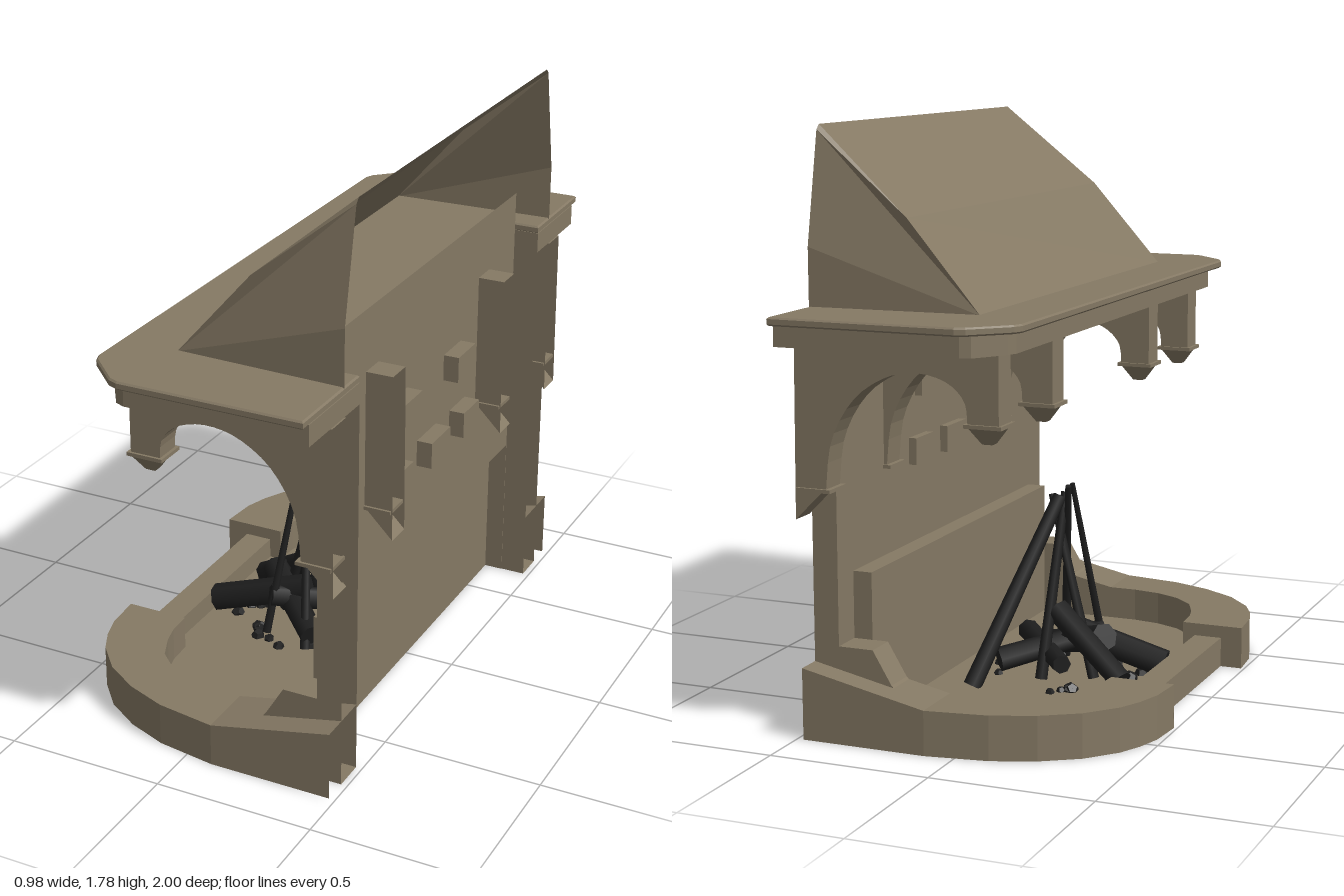
import * as THREE from 'three';

const stone = new THREE.MeshStandardMaterial({ color: 0x857964, side: THREE.DoubleSide });
stone.name = 'stone';
const char = new THREE.MeshStandardMaterial({ color: 0x1e1e1e, side: THREE.DoubleSide });
char.name = 'charredWood';

// Faceted open surface from rows of [x, y, z] points
function surface(rows) {
  const pos = [];
  for (let i = 0; i < rows.length - 1; i++) {
    for (let j = 0; j < rows[i].length - 1; j++) {
      const a = rows[i][j], b = rows[i + 1][j], c = rows[i + 1][j + 1], d = rows[i][j + 1];
      pos.push(...a, ...b, ...c, ...a, ...c, ...d);
    }
  }
  const g = new THREE.BufferGeometry();
  g.setAttribute('position', new THREE.Float32BufferAttribute(pos, 3));
  g.computeVertexNormals();
  return g;
}

const shapeOf = pts => new THREE.Shape(pts.map(p => new THREE.Vector2(...p)));

export function createModel() {
  const model = new THREE.Group();
  model.name = 'fireplace';
  const add = (parent, name, geo, mat = stone) => {
    const m = new THREE.Mesh(geo, mat);
    m.name = name;
    parent.add(m);
    return m;
  };
  const group = name => {
    const g = new THREE.Group();
    g.name = name;
    model.add(g);
    return g;
  };
  const box = (parent, name, x0, x1, y0, y1, z0, z1) =>
    add(parent, name, new THREE.BoxGeometry(x1 - x0, y1 - y0, z1 - z0))
      .position.set((x0 + x1) / 2, (y0 + y1) / 2, (z0 + z1) / 2);
  // Hollow part: x-y profile strip with two flat cheeks, open at its back
  const shell = (parent, name, pts, z0, z1) => {
    add(parent, name, surface([z0, z1].map(z => pts.map(([x, y]) => [x, y, z]))));
    for (const z of [z0, z1]) add(parent, name + 'Cheek', new THREE.ShapeGeometry(shapeOf(pts))).position.z = z;
  };
  // Plan outline (x, z) extruded upward
  const slab = (parent, name, pts, y0, y1, bevel = 0) => {
    const g = new THREE.ExtrudeGeometry(shapeOf(pts.map(([x, z]) => [x, -z])), {
      depth: y1 - y0 - 2 * bevel, bevelEnabled: bevel > 0, bevelSize: bevel,
      bevelOffset: -bevel, bevelThickness: bevel, bevelSegments: 1 });
    g.rotateX(-Math.PI / 2);
    add(parent, name, g).position.y = y0 + bevel;
  };

  // Hearth: curved rim rising toward the wall, sunken floor, low front kerb
  const hearth = group('hearth');
  const rim = [ // outer x, z, inner x, z
    [-0.49, 0.33, -0.29, 0.33], [-0.48, 0.45, -0.285, 0.41], [-0.455, 0.53, -0.27, 0.47],
    [-0.42, 0.6, -0.235, 0.55], [-0.34, 0.69, -0.17, 0.61], [-0.23, 0.76, -0.09, 0.645],
    [-0.1, 0.81, 0, 0.66], [0.09, 0.84, 0.09, 0.66], [0.48, 0.84, 0.48, 0.66]];
  const rimTop = x => 0.135 + Math.max(0, x - 0.09) * 0.21;
  for (const s of [1, -1]) {
    add(hearth, 'hearthRim', surface(rim.map(([ox, oz, ix, iz]) => [
      [ox, 0, s * oz], [ox, rimTop(ox), s * oz], [ix, rimTop(ix), s * iz], [ix, 0, s * iz]])));
    box(hearth, 'rimEnd', -0.49, -0.29, 0, 0.135, s * 0.331 - 0.001, s * 0.331 + 0.001);
    shell(hearth, 'rimStep', [[0.4, 0.13], [0.19, 0.13], [0.23, 0.17], [0.29, 0.27], [0.4, 0.27]],
      s * 0.66, s * 0.76);
  }
  box(hearth, 'frontKerb', -0.42, -0.33, 0, 0.095, -0.33, 0.33);
  const half = rim.slice(0, 8).map(r => [r[2], r[3]]);
  half.push([0.34, 0.66]);
  slab(hearth, 'hearthFloor', [[-0.34, 0.33], ...half,
    ...half.map(([x, z]) => [x, -z]).reverse(), [-0.34, -0.33]], 0.02, 0.028);

  // Back wall with a ledge, open behind, and side pilasters
  const wall = group('wall');
  const wallLine = [[0.34, 0], [0.34, 0.475], [0.4, 0.475], [0.4, 1.37]];
  add(wall, 'backPanel', surface([-0.66, 0.66].map(z => wallLine.map(([x, y]) => [x, y, z]))));
  for (const s of [1, -1]) {
    box(wall, 'ledgeEnd', 0.34, 0.4, 0, 0.475, s * 0.66 - 0.002, s * 0.66 + 0.002);
    shell(wall, 'pilaster', [[0.48, 0], [0.4, 0], [0.4, 1.18], [0.48, 1.18]], s * 0.66, s * 0.76);
  }
  const bricks = [[0.225, 0.975, 0.12], [-0.17, 0.975, 0.13], [0.28, 0.765, 0.12],
    [0.015, 0.765, 0.14], [-0.22, 0.765, 0.12]];
  for (const [z, y, w] of bricks) box(wall, 'brick', 0.375, 0.45, y - 0.042, y + 0.042, z - w / 2, z + w / 2);

  // Four arched brackets with pendants and a wall corbel
  const brackets = group('brackets');
  const arch = new THREE.SplineCurve([[-0.055, 0.975], [-0.045, 1.04], [0.01, 1.09], [0.1, 1.11],
    [0.2, 1.09], [0.3, 1.02], [0.37, 0.9], [0.39, 0.755]].map(p => new THREE.Vector2(...p)))
    .getPoints(24).map(p => [p.x, p.y]);
  const profile = [[0.485, 1.18], [-0.15, 1.18], [-0.15, 0.975], ...arch, [0.4, 0.75], [0.49, 0.66]];
  for (const zc of [-0.797, -0.41, 0.41, 0.797]) {
    shell(brackets, 'archedBracket', profile, zc - 0.042, zc + 0.042);
    box(brackets, 'pendantCollar', -0.16, -0.045, 0.965, 0.976, zc - 0.05, zc + 0.05);
    const tip = add(brackets, 'pendant', new THREE.CylinderGeometry(0.065, 0.022, 0.05, 4).rotateY(Math.PI / 4));
    tip.position.set(-0.103, 0.942, zc);
    box(brackets, 'corbelCollar', 0.375, 0.485, 0.745, 0.756, zc - 0.05, zc + 0.05);
  }

  // Mantel shelf, notched behind for the wall
  const mantel = group('mantel');
  const shelf = (front, side) => [[0.48, side], [-0.09, side], [-0.12, side - 0.012], [front + 0.012, side - 0.11],
    [front, side - 0.14], [front, 0.14 - side], [front + 0.012, 0.11 - side], [-0.12, 0.012 - side],
    [-0.09, -side], [0.48, -side], [0.48, -0.66], [0.4, -0.66], [0.4, 0.66], [0.48, 0.66]];
  slab(mantel, 'mantelMoulding', shelf(-0.198, 0.965), 1.18, 1.245);
  slab(mantel, 'mantelTop', shelf(-0.232, 1), 1.243, 1.268, 0.005);

  // Chimney hood: open shell, sloping front with folded sides
  const hood = group('hood');
  const A = [-0.05, 1.265, 0.735], B = [0.18, 1.53, 0.725], C = [0.48, 1.785, 0.675],
    D = [0.48, 1.77, 0.69], E = [0.48, 1.44, 0.755], F = [0.48, 1.265, 0.755];
  const flip = s => ([x, y, z]) => [x, y, s * z];
  add(hood, 'hoodFront', surface([[A, B, C].map(flip(1)), [A, B, C].map(flip(-1))]));
  for (const s of [1, -1]) {
    for (const tri of [[A, F, E], [A, E, D], [A, D, B], [B, D, C]]) {
      const g = new THREE.BufferGeometry().setFromPoints(
        (s > 0 ? tri : [...tri].reverse()).map(p => new THREE.Vector3(...flip(s)(p))));
      g.computeVertexNormals();
      add(hood, 'hoodSide', g);
    }
  }

  // Camp fire: leaning sticks, lying logs and scattered embers
  const fire = group('fire');
  const log = (name, a, b, r0, r1) => {
    const p = new THREE.Vector3(...a), q = new THREE.Vector3(...b), d = q.clone().sub(p);
    const m = add(fire, name, new THREE.CylinderGeometry(r1, r0, d.length(), 7), char);
    m.position.copy(p).add(q).multiplyScalar(0.5);
    m.quaternion.setFromUnitVectors(new THREE.Vector3(0, 1, 0), d.normalize());
  };
  const sticks = [
    [[0.2, 0.03, -0.26], [0.01, 0.6, 0], 0.03, 0.022],
    [[0.06, 0.03, 0.17], [-0.03, 0.64, -0.03], 0.016, 0.01],
    [[-0.12, 0.03, -0.04], [0.045, 0.6, 0.02], 0.018, 0.012],
    [[-0.1, 0.03, 0.13], [-0.035, 0.645, -0.01], 0.014, 0.008],
    [[0.03, 0.03, -0.11], [0, 0.61, 0.02], 0.02, 0.014]];
  for (const s of sticks) log('leaningStick', ...s);
  const logs = [
    [[-0.32, 0.07, 0.065], [0, 0.17, 0.03], 0.045, 0.045],
    [[-0.16, 0.17, -0.05], [0.08, 0.08, 0.16], 0.045, 0.04],
    [[-0.26, 0.07, -0.16], [0, 0.24, -0.04], 0.035, 0.04],
    [[0.17, 0.08, -0.12], [-0.1, 0.15, 0.1], 0.04, 0.035],
    [[0.18, 0.11, 0.14], [-0.06, 0.1, -0.16], 0.035, 0.03]];
  for (const l of logs) log('lyingLog', ...l);
  let seed = 7;
  const rand = () => (seed = (seed * 16807) % 2147483647) / 2147483647;
  for (let i = 0; i < 16; i++) {
    const a = rand() * Math.PI * 2, r = 0.12 + rand() * 0.13;
    const e = add(fire, 'ember', new THREE.DodecahedronGeometry(0.014 + rand() * 0.014), char);
    e.position.set(Math.cos(a) * r - 0.02, 0.03, Math.sin(a) * r);
    e.rotation.set(rand() * 3, rand() * 3, 0);
  }
  return model;
}
